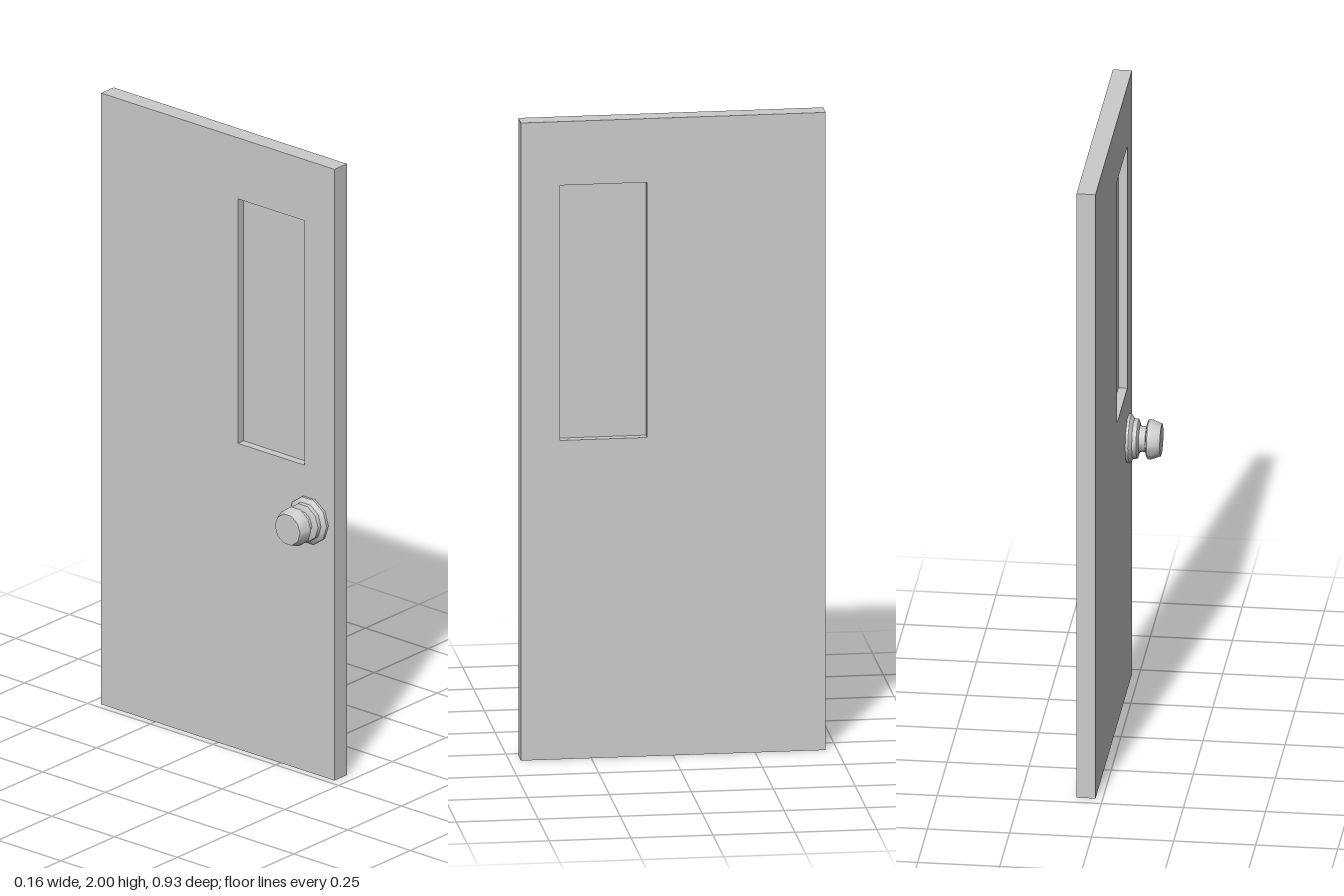
import * as THREE from 'three';
import { toCreasedNormals } from 'three/addons/utils/BufferGeometryUtils.js';

const INNER = 0.022, THICK = 0.058; // door slab along x
const WINDOW = { z0: 0.08, z1: 0.345, y0: 1.0, y1: 1.8 };

function rectangle(path, u0, u1, y0, y1) {
  path.moveTo(u0, y0);
  path.lineTo(u1, y0);
  path.lineTo(u1, y1);
  path.lineTo(u0, y1);
  path.closePath();
  return path;
}

function addMesh(group, name, geometry, color = 0xcccccc) {
  const mesh = new THREE.Mesh(geometry, new THREE.MeshStandardMaterial({ color }));
  mesh.name = name;
  group.add(mesh);
  return mesh;
}

export function createModel() {
  const model = new THREE.Group();
  model.name = 'door';

  // Slab with a window opening, drawn in the (-z, y) plane and extruded along x
  const outline = rectangle(new THREE.Shape(), -0.465, 0.465, 0, 2);
  outline.holes.push(rectangle(new THREE.Path(), -WINDOW.z1, -WINDOW.z0, WINDOW.y0, WINDOW.y1));
  const slab = new THREE.ExtrudeGeometry(outline, { depth: THICK, bevelEnabled: false });
  slab.rotateY(Math.PI / 2);
  addMesh(model, 'doorPanel', slab).position.x = INNER;

  // Thin pane set midway through the opening
  const pane = new THREE.BoxGeometry(0.004, WINDOW.y1 - WINDOW.y0, WINDOW.z1 - WINDOW.z0);
  addMesh(model, 'windowPane', pane, 0xdfdfdf).position.set(
    INNER + THICK / 2, (WINDOW.y0 + WINDOW.y1) / 2, (WINDOW.z0 + WINDOW.z1) / 2);

  // Ten-sided turned knob: [radius, distance out from the door face]
  const profile = [
    [0.076, 0], [0.076, 0.008], [0.070, 0.013], [0.062, 0.018], [0.061, 0.031],
    [0.055, 0.034], [0.041, 0.036], [0.039, 0.046], [0.041, 0.056],
    [0.056, 0.059], [0.061, 0.063], [0.061, 0.073], [0.050, 0.102], [0, 0.102],
  ].map(([r, d]) => new THREE.Vector2(r, d));
  const knob = toCreasedNormals(new THREE.LatheGeometry(profile, 10), 0.7);
  knob.rotateZ(Math.PI / 2);
  addMesh(model, 'doorKnob', knob).position.set(INNER, 0.826, 0.365);

  return model;
}
